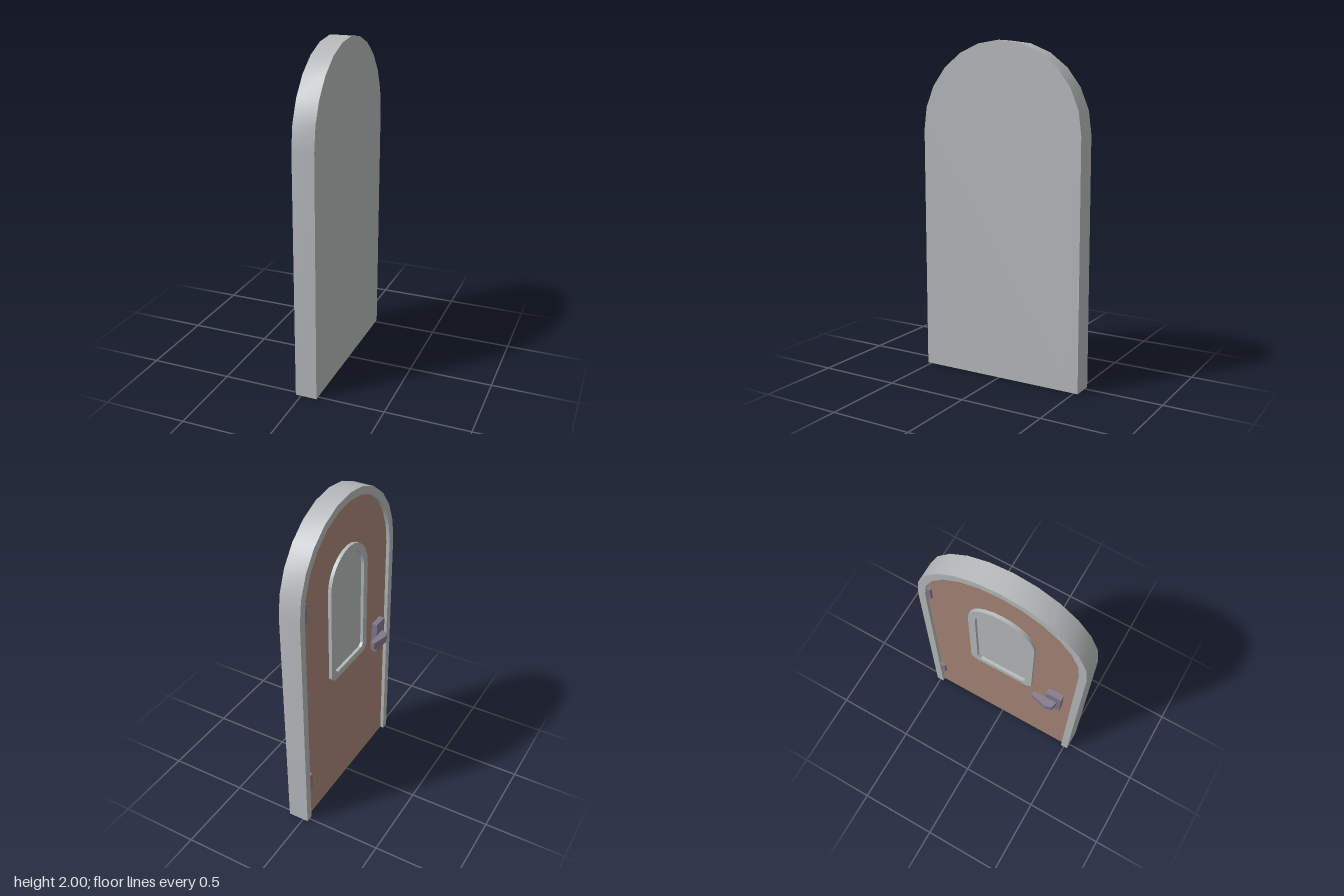
import * as THREE from 'three';
import { toCreasedNormals } from 'three/addons/utils/BufferGeometryUtils.js';

const ARCH_Y = 1.475; // shared centre height of all arches

function material(name, color) {
  const m = new THREE.MeshStandardMaterial({ color });
  m.name = name;
  return m;
}

// Arched outline: bottom corners (optionally cut) and a 12-sided half circle on top.
function archPoints(r, bottom, cut = 0) {
  const pts = cut
    ? [[-r, bottom + cut], [-r + cut, bottom], [r - cut, bottom], [r, bottom + cut]]
    : [[-r, bottom], [r, bottom]];
  for (let i = 0; i <= 12; i++) {
    const a = (i / 12) * Math.PI;
    pts.push([r * Math.cos(a), ARCH_Y + r * Math.sin(a)]);
  }
  return pts.map(([u, v]) => new THREE.Vector2(u, v));
}

// Extrude an outline drawn in (z, y) from x = back to x = front, towards -x.
function slab(points, back, front, hole) {
  const shape = new THREE.Shape(points);
  if (hole) shape.holes.push(new THREE.Path(hole));
  const geo = new THREE.ExtrudeGeometry(shape, { depth: back - front, bevelEnabled: false });
  geo.rotateY(-Math.PI / 2);
  geo.translate(back, 0, 0);
  return toCreasedNormals(geo, 0.5);
}

export function createModel() {
  const group = new THREE.Group();
  group.name = 'archedDoor';
  const stone = material('stoneGrey', 0xb4b8b8);
  const wood = material('woodBrown', 0xa48475);
  const metal = material('metalPurpleGrey', 0x82788a);

  const add = (name, geo, mat) => {
    const mesh = new THREE.Mesh(geo, mat);
    mesh.name = name;
    group.add(mesh);
    return mesh;
  };

  // Door surround, open at the foot: outer arch out, inner arch back
  const outer = archPoints(0.525, 0);
  const inner = archPoints(0.478, 0);
  const surround = [...outer.slice(1), outer[0], inner[0], ...inner.slice(2).reverse(), inner[1]];
  add('doorFrame', slab(surround, 0.097, -0.033), stone);

  // Thin plate closing the far side of the frame
  add('backPanel', slab(archPoints(0.478, 0), 0.097, 0.094), stone);

  // Wooden leaf, set back in the frame
  add('doorLeaf', slab(archPoints(0.478, 0), -0.004, -0.011), wood);

  // Window: raised arched trim around a recessed pane
  add('windowTrim', slab(archPoints(0.207, 0.867, 0.03), -0.01, -0.032, archPoints(0.162, 0.912, 0.02)), stone);
  add('windowPane', slab(archPoints(0.17, 0.9), -0.01, -0.013), stone);

  // Handle plate and faceted grip
  add('handlePlate', new THREE.BoxGeometry(0.037, 0.205, 0.1), metal).position.set(-0.0285, 0.872, 0.365);
  const profile = [[-0.047, 0.235], [-0.073, 0.235], [-0.098, 0.34], [-0.087, 0.378], [-0.047, 0.39]];
  const grip = new THREE.ExtrudeGeometry(
    new THREE.Shape(profile.map(([x, z]) => new THREE.Vector2(x, -z))),
    { depth: 0.05, bevelEnabled: false });
  grip.rotateX(-Math.PI / 2);
  add('handleGrip', grip, metal).position.y = 0.845;

  // Hinges beside the opposite jamb
  for (const [name, y] of [['upperHinge', 1.5], ['lowerHinge', 0.285]]) {
    add(name, new THREE.BoxGeometry(0.018, 0.11, 0.035), metal).position.set(-0.019, y, -0.462);
  }
  return group;
}
